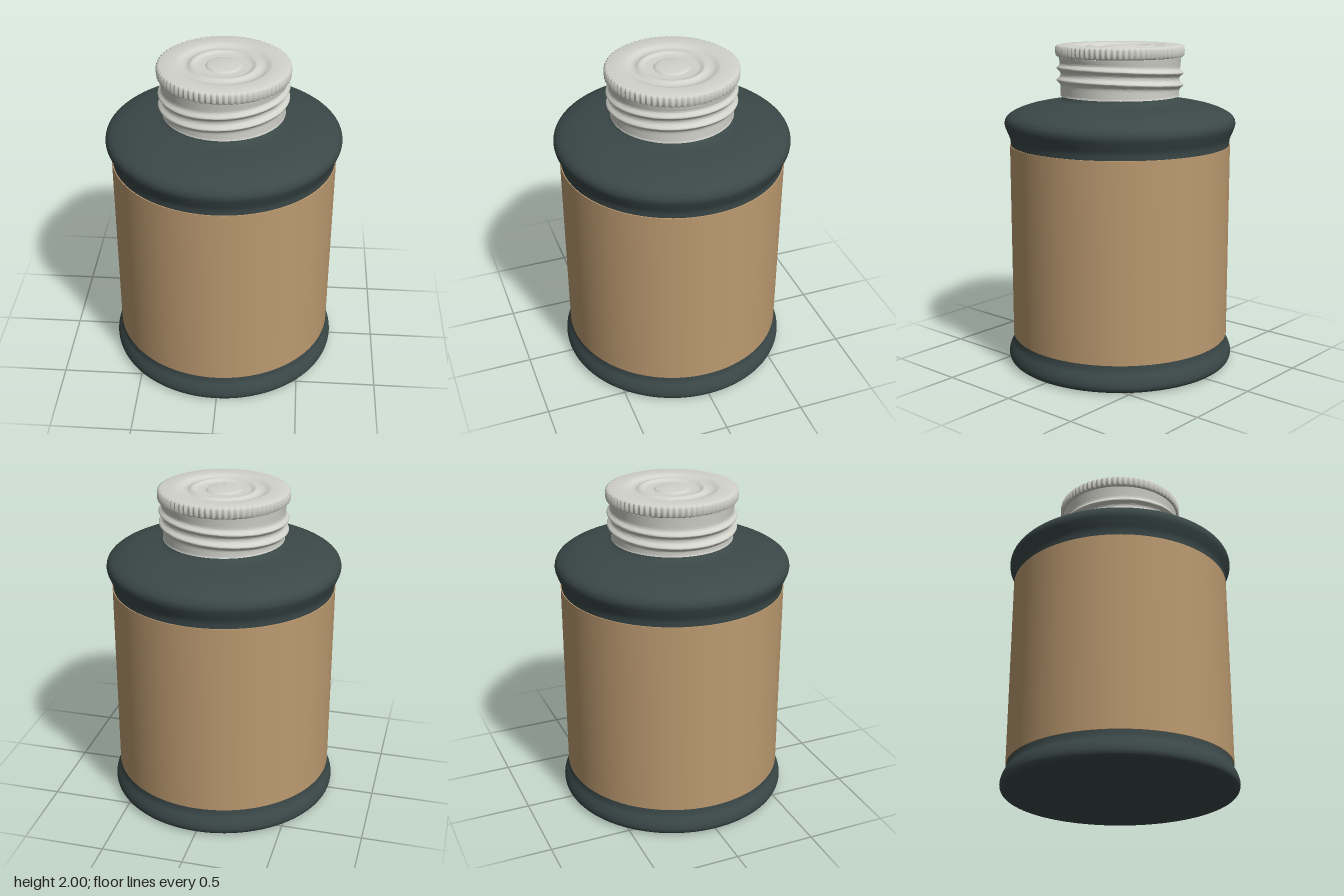
import * as THREE from 'three';
import { toCreasedNormals } from 'three/addons/utils/BufferGeometryUtils.js';

const vec = ([r, y]) => new THREE.Vector2(r, y);
const smooth = (pts, n) => new THREE.SplineCurve(pts.map(vec)).getPoints(n);

// Revolve a bottom-to-top profile, optionally moving each vertex by a rule
function turned(name, color, profile, segments, rule) {
  const geo = new THREE.LatheGeometry(profile, segments);
  if (rule) {
    const p = geo.attributes.position, v = new THREE.Vector3();
    for (let i = 0; i < p.count; i++) {
      rule(v.fromBufferAttribute(p, i));
      p.setXYZ(i, v.x, v.y, v.z);
    }
  }
  const mesh = new THREE.Mesh(toCreasedNormals(geo, 0.7), new THREE.MeshStandardMaterial({ color }));
  mesh.name = name;
  return mesh;
}

export function createModel() {
  const group = new THREE.Group();
  const dark = 0x3b4848, tan = 0xbc9a70, metal = 0xd2d3cb;

  // Bottle: recessed base, flared foot, straight wall, rounded shoulder, short neck
  const base = [[0, 0.02], [0.29, 0.02], [0.31, 0.012], [0.53, 0.012], [0.58, 0.003]].map(vec);
  const foot = smooth([[0.62, 0], [0.68, 0.002], [0.708, 0.018], [0.716, 0.05],
    [0.705, 0.09], [0.686, 0.13], [0.68, 0.17]], 24);
  const shoulder = smooth([[0.68, 1.39], [0.684, 1.43], [0.702, 1.475], [0.716, 1.52], [0.704, 1.56],
    [0.66, 1.592], [0.58, 1.622], [0.48, 1.643], [0.39, 1.655], [0.352, 1.672], [0.336, 1.7]], 40);
  group.add(turned('bottle', dark, [...base, ...foot, ...shoulder], 96));

  // Paper label wrapped around the wall
  const label = [[0.675, 0.17], [0.686, 0.17], [0.686, 1.39], [0.675, 1.39]].map(vec);
  group.add(turned('label', tan, label, 96));

  // Sleeve with two slanted thread beads
  const sleeve = [vec([0, 1.69]), vec([0.37, 1.69])];
  for (let i = 1; i <= 60; i++) {
    const y = 1.69 + 0.004 * i;
    const bead = (c) => 0.025 * Math.exp(-(((y - c) / 0.017) ** 2));
    const taper = y < 1.85 ? 0.367 : 0.367 + (y - 1.85) * 0.14;
    sleeve.push(vec([taper + bead(1.77) + bead(1.843), y]));
  }
  group.add(turned('threadedSleeve', metal, sleeve, 96, (v) => {
    const rise = THREE.MathUtils.smoothstep(v.y, 1.69, 1.755) * (1 - THREE.MathUtils.smoothstep(v.y, 1.86, 1.93));
    v.y += 0.06 * v.x * rise;
  }));

  // Lid with a ribbed rim and concentric pressed rings on top
  const lid = [[0, 1.93], [0.375, 1.93], [0.388, 1.934], [0.393, 1.942], [0.394, 1.965], [0.393, 1.988],
    [0.388, 1.996], [0.378, 2], [0.285, 2], [0.272, 1.998], [0.255, 1.988], [0.24, 1.984], [0.222, 1.985],
    [0.21, 1.988], [0.2, 1.996], [0.19, 1.998], [0.18, 1.995], [0.17, 1.986], [0.155, 1.984], [0.108, 1.985],
    [0.1, 1.993], [0.09, 1.995], [0, 1.995]].map(vec);
  const ribs = 72;
  group.add(turned('lid', metal, lid, ribs * 6, (v) => {
    const r = Math.hypot(v.x, v.z);
    if (r < 0.386) return;
    const k = 1 + 0.011 * Math.cos(ribs * Math.atan2(v.x, v.z));
    v.x *= k;
    v.z *= k;
  }));

  return group;
}
